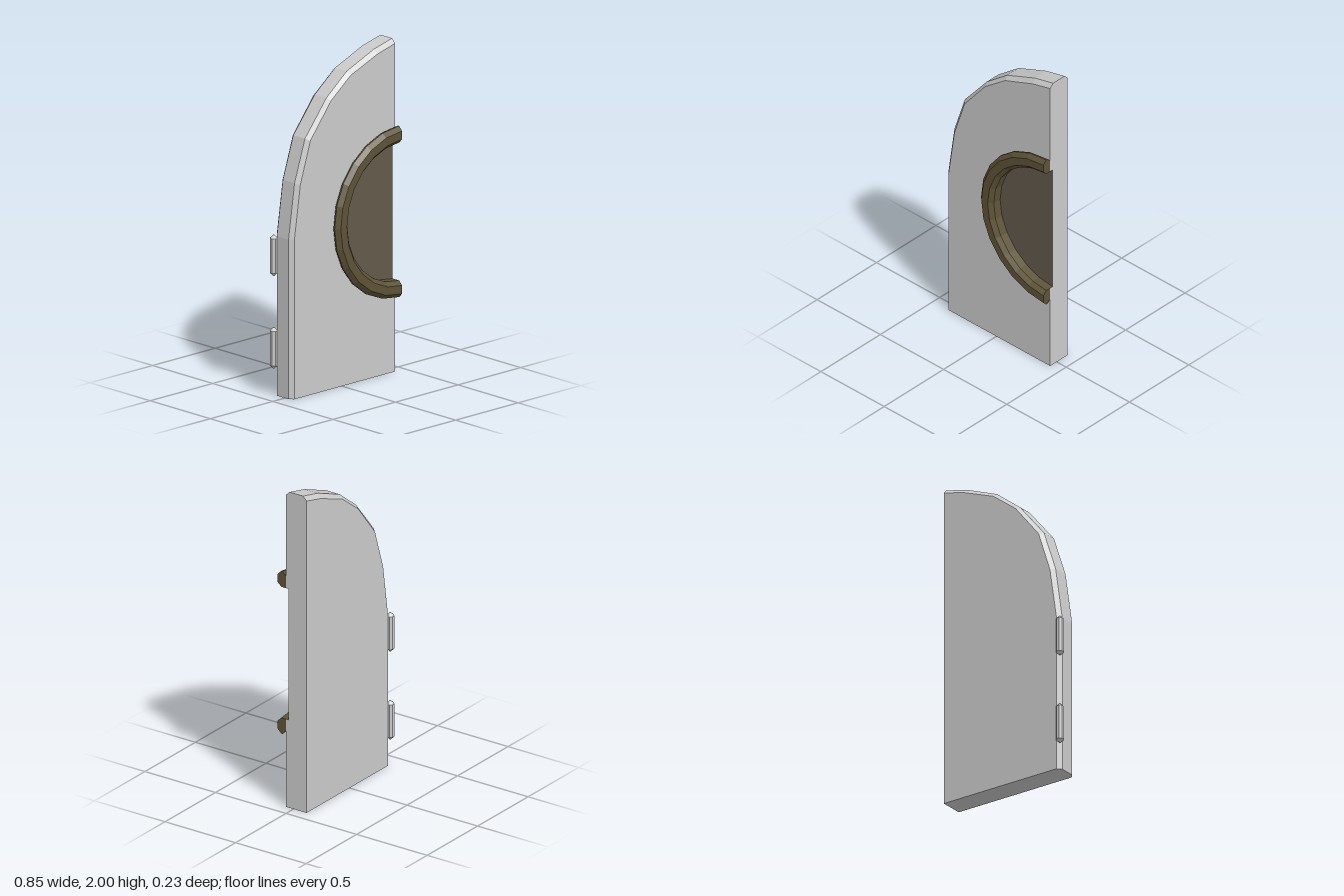
import * as THREE from 'three';
import { mergeGeometries } from 'three/addons/utils/BufferGeometryUtils.js';

const EDGE = 0.425;                      // flat side where the two door leaves meet
const FRONT = 0.055, BACK = -0.092, BEVEL = 0.025;
const CY = 0.97, R = 0.415, FLOOR = 0.035, SEG = 12; // half-round dish

// Arched edge, bottom to top: full outline and its bevelled inset
const outer = [[-0.403, 0], [-0.403, 0.96], [-0.355, 1.29], [-0.272, 1.54], [-0.1, 1.75],
  [0.062, 1.877], [0.28, 1.965], [EDGE, 2]];
const inner = [[-0.38, 0], [-0.38, 0.96], [-0.333, 1.28], [-0.252, 1.53], [-0.088, 1.735],
  [0.07, 1.856], [0.287, 1.94], [EDGE, 1.975]];

const material = (color) => new THREE.MeshStandardMaterial({ color, flatShading: true });

// Flat polygon facing +z
function face(points) {
  const shape = new THREE.Shape(points.map(([x, y]) => new THREE.Vector2(x, y)));
  return new THREE.ShapeGeometry(shape).toNonIndexed();
}

// Band of quads between successive rows of points
function strip(rows) {
  const pos = [];
  for (let r = 0; r + 1 < rows.length; r++) {
    for (let i = 0; i + 1 < rows[r].length; i++) {
      const a = rows[r][i], b = rows[r][i + 1], c = rows[r + 1][i + 1], d = rows[r + 1][i];
      pos.push(...a, ...b, ...d, ...b, ...c, ...d);
    }
  }
  const g = new THREE.BufferGeometry();
  g.setAttribute('position', new THREE.Float32BufferAttribute(pos, 3));
  g.computeVertexNormals();
  return g;
}

function merge(list) {
  list.forEach((g) => g.deleteAttribute('uv'));
  return mergeGeometries(list);
}

function doorGeometry() {
  const at = (pts, z) => pts.map(([x, y]) => [x, y, z]);
  // Bevelled rim along the arch
  const rim = strip([at(inner, FRONT), at(outer, FRONT - BEVEL), at(outer, BACK + BEVEL), at(inner, BACK)]);
  // Front with the half-round cut-out
  const arc = [];
  for (let i = 0; i <= SEG; i++) {
    const t = Math.PI / 2 + (i / SEG) * Math.PI;
    arc.push([EDGE + R * Math.cos(t), CY + R * Math.sin(t)]);
  }
  const front = face([...inner, ...arc, [EDGE, 0]]).translate(0, 0, FRONT);
  // Back
  const back = face([...inner, [EDGE, 0]].map(([x, y]) => [-x, y])).rotateY(Math.PI).translate(0, 0, BACK);
  // Straight side, notched where the dish opens
  const side = face([[-FRONT, 0], [-FRONT, CY - R], [-FLOOR, CY - R], [-FLOOR, CY + R], [-FRONT, CY + R],
    [-FRONT, 1.975], [BEVEL - FRONT, 2], [-BACK - BEVEL, 2], [-BACK, 1.975], [-BACK, 0]])
    .rotateY(Math.PI / 2).translate(EDGE, 0, 0);
  // Underside
  const bottom = face([[-0.38, FRONT], [-0.403, FRONT - BEVEL], [-0.403, BACK + BEVEL], [-0.38, BACK],
    [EDGE, BACK], [EDGE, FRONT]]).rotateX(Math.PI / 2);
  return merge([rim, front, back, side, bottom]);
}

function ringGeometry() {
  // Cross-section as [radius, z]; the inner wall runs down to the dish floor
  const section = [[0.49, FRONT], [0.515, 0.078], [0.515, 0.088], [0.49, 0.113],
    [0.44, 0.113], [R, 0.088]];
  const profile = [...section, [R, FLOOR]].map(([r, z]) => new THREE.Vector2(r, z));
  const parts = [new THREE.LatheGeometry(profile, SEG, Math.PI, Math.PI)
    .rotateX(Math.PI / 2).translate(EDGE, CY, 0).toNonIndexed()];
  // End caps
  for (const s of [1, -1]) {
    parts.push(face([...section, [R, FRONT]].map(([r, z]) => [-z, CY + s * r]))
      .rotateY(Math.PI / 2).translate(EDGE, 0, 0));
  }
  return merge(parts);
}

export function createModel() {
  const model = new THREE.Group();
  const add = (name, geometry, mat) => {
    const mesh = new THREE.Mesh(geometry, mat);
    mesh.name = name;
    model.add(mesh);
    return mesh;
  };
  const grey = material(0xcccccc);

  add('doorPanel', doorGeometry(), grey);
  add('dishRing', ringGeometry(), material(0x5e5338));
  add('dishFloor', new THREE.CircleGeometry(R, SEG, Math.PI / 2, Math.PI), material(0x645a4c))
    .position.set(EDGE, CY, FLOOR);

  // Hinge barrels with tapered ends
  const barrel = [[0, -0.123], [0.004, -0.123], [0.024, -0.104], [0.024, 0.104], [0.004, 0.123], [0, 0.123]]
    .map(([r, y]) => new THREE.Vector2(r, y));
  const hinge = new THREE.LatheGeometry(barrel, 8, Math.PI / 8);
  [['lowerHinge', 0.283], ['upperHinge', 0.84]].forEach(([name, y]) => {
    add(name, hinge, grey).position.set(-0.404, y, BACK);
  });
  return model;
}
